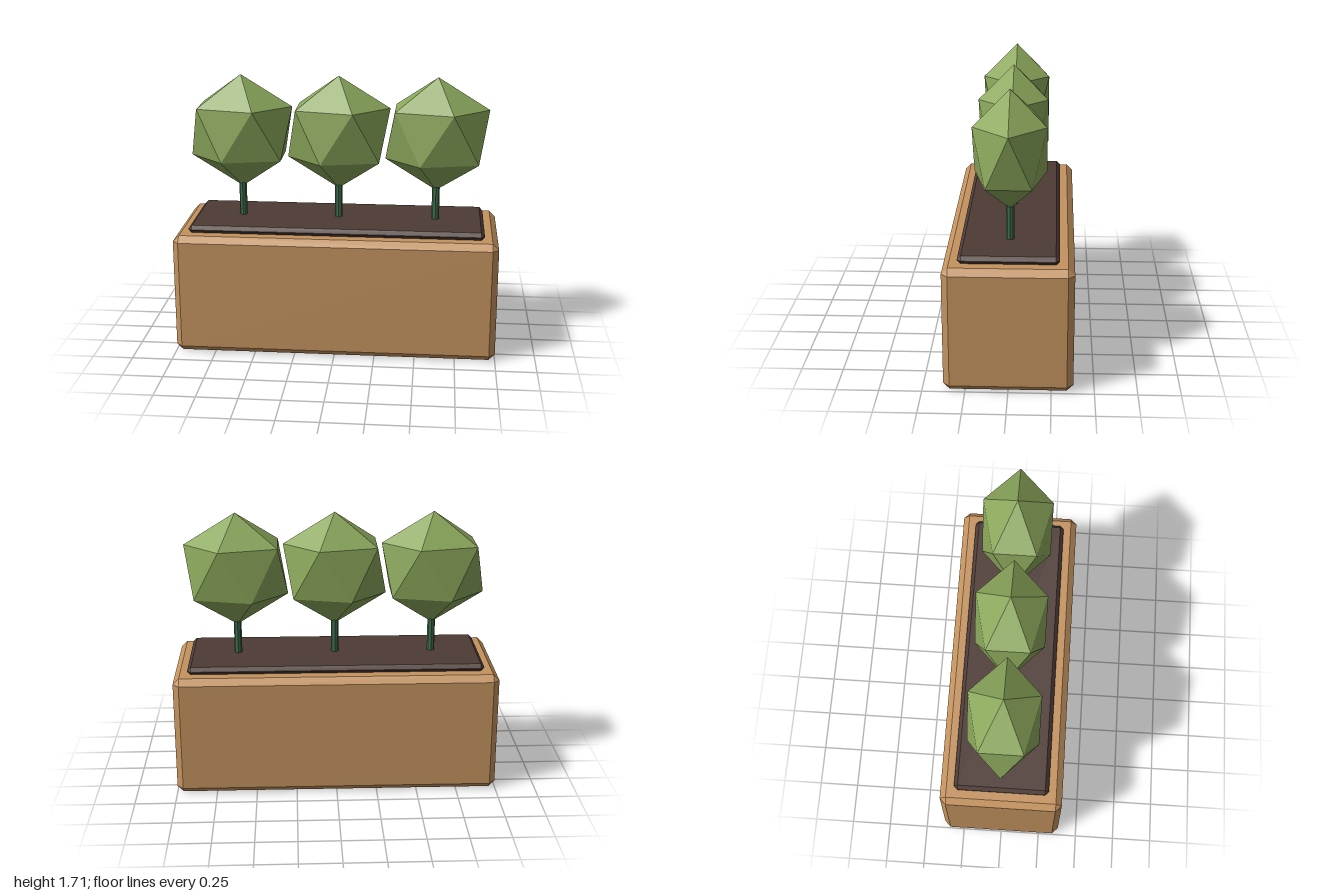
import * as THREE from 'three';
import { ConvexGeometry } from 'three/addons/geometries/ConvexGeometry.js';

const paint = (color) => new THREE.MeshStandardMaterial({ color, flatShading: true });

// Box with every edge and corner cut by c
function chamferBox(w, h, d, c) {
  const points = [];
  for (const sx of [-1, 1]) for (const sy of [-1, 1]) for (const sz of [-1, 1]) {
    for (let axis = 0; axis < 3; axis++) {
      const cut = [c, c, c];
      cut[axis] = 0;
      points.push(new THREE.Vector3(
        sx * (w / 2 - cut[0]), sy * (h / 2 - cut[1]), sz * (d / 2 - cut[2])));
    }
  }
  return new ConvexGeometry(points);
}

// Icosahedron standing on a point, stretched along each axis
function crownGeometry(rx, ry, rz) {
  const points = [new THREE.Vector3(0, ry, 0), new THREE.Vector3(0, -ry, 0)];
  const level = 1 / Math.sqrt(5), ring = 2 / Math.sqrt(5);
  for (let i = 0; i < 10; i++) {
    const a = i * Math.PI / 5;
    points.push(new THREE.Vector3(
      rx * ring * Math.cos(a), ry * level * (i % 2 ? -1 : 1), rz * ring * Math.sin(a)));
  }
  return new ConvexGeometry(points);
}

export function createModel() {
  const model = new THREE.Group();
  model.name = 'planter';

  const add = (parent, name, geometry, material, x, y) => {
    const mesh = new THREE.Mesh(geometry, material);
    mesh.name = name;
    mesh.position.set(x, y, 0);
    parent.add(mesh);
  };

  // Planter box and soil slab
  add(model, 'planterBox', chamferBox(2, 0.76, 0.756, 0.038), paint(0xc4935f), 0, 0.38);
  add(model, 'soil', chamferBox(1.83, 0.05, 0.585, 0.023), paint(0x4e3b35), 0, 0.781);

  // Row of three clipped shrubs
  const stemGeometry = new THREE.CylinderGeometry(0.024, 0.024, 0.26, 8);
  const crown = crownGeometry(0.357, 0.357, 0.25);
  const stemPaint = paint(0x3f6b4a), leafPaint = paint(0x8aa65a);
  for (const x of [-0.61, 0, 0.61]) {
    const shrub = new THREE.Group();
    shrub.name = 'shrub';
    shrub.position.x = x;
    add(shrub, 'stem', stemGeometry, stemPaint, 0, 0.92);
    add(shrub, 'crown', crown, leafPaint, 0, 1.35);
    model.add(shrub);
  }
  return model;
}
